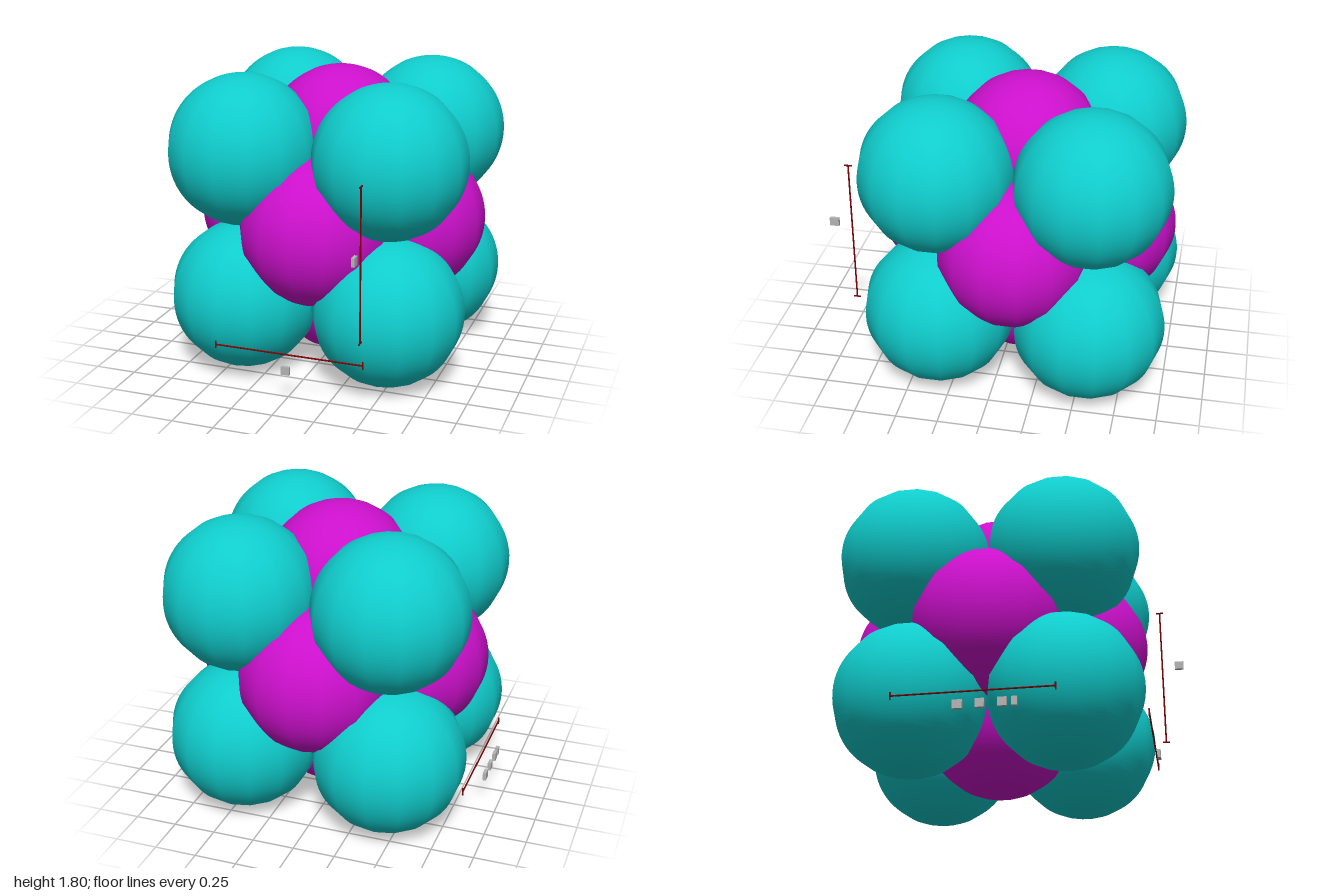
import * as THREE from 'three';

export function createModel() {
  const model = new THREE.Group();
  model.name = 'faceCentredCubicCell';

  const material = (name, color) => {
    const m = new THREE.MeshStandardMaterial({ color });
    m.name = name;
    return m;
  };
  const teal = material('teal', 0x10cccc);
  const magenta = material('magenta', 0xcc10cc);
  const darkRed = material('dark red', 0x800000);
  const grey = material('light grey', 0xb4b4b4);

  // Cell centre, half edge of the cell and ball radius
  const C = new THREE.Vector3(0.024, 0.903, -0.1);
  const S = 0.448, R = 0.45;

  const ballGeometry = new THREE.SphereGeometry(R, 14, 36);
  ballGeometry.rotateY(Math.PI / 2);

  const add = (name, geometry, mat, x, y, z) => {
    const mesh = new THREE.Mesh(geometry, mat);
    mesh.name = name;
    mesh.position.set(x, y, z);
    model.add(mesh);
    return mesh;
  };
  const ball = (name, mat, x, y, z) =>
    add(name, ballGeometry, mat, C.x + x * S, C.y + y * S, C.z + z * S);

  // Eight corner balls and six face-centre balls
  for (const a of [-1, 1]) {
    for (const b of [-1, 1]) {
      for (const c of [-1, 1]) ball('cornerBall', teal, a, b, c);
    }
    ball('sideFaceBall', magenta, a, 0, 0);
    ball('levelFaceBall', magenta, 0, a, 0);
    ball('endFaceBall', magenta, 0, 0, a);
  }

  // Thin rod between two points
  const rod = (name, from, to) => {
    const d = to.clone().sub(from);
    const mesh = add(name, new THREE.CylinderGeometry(0.005, 0.005, d.length(), 8), darkRed,
      ...from.clone().add(to).multiplyScalar(0.5).toArray());
    mesh.quaternion.setFromUnitVectors(new THREE.Vector3(0, 1, 0), d.normalize());
  };

  // Dimension line of one cell edge, with a tick at each end
  const dimension = (name, middle, along, tick) => {
    const ends = [-S, S].map((k) => middle.clone().addScaledVector(along, k));
    rod(name + 'Line', ends[0], ends[1]);
    for (const e of ends) {
      rod(name + 'Tick', e.clone().addScaledVector(tick, -0.022), e.clone().addScaledVector(tick, 0.022));
    }
  };
  const X = new THREE.Vector3(1, 0, 0);
  const Y = new THREE.Vector3(0, 1, 0);
  const Z = new THREE.Vector3(0, 0, 1);
  dimension('width', new THREE.Vector3(C.x, 0.297, 0.81), X, Y);
  dimension('height', new THREE.Vector3(C.x + S, C.y, 0.866), Y, Z);
  dimension('depth', new THREE.Vector3(-0.873, 0.297, C.z), Z, Y);

  // Small plain marker tabs beside the dimension lines
  const tab = (name, w, h, d, x, y, z) =>
    add(name, new THREE.BoxGeometry(w, h, d), grey, x, y, z);
  tab('widthTab', 0.05, 0.05, 0.02, 0.018, 0.21, 0.835);
  tab('heightTab', 0.02, 0.05, 0.055, C.x + S, 0.97, 0.9725);
  for (const [z, d] of [[-0.17, 0.055], [-0.05, 0.05], [0.07, 0.05], [0.135, 0.03]]) {
    tab('depthTab', 0.02, 0.05, d, -0.918, 0.205, z);
  }

  return model;
}
